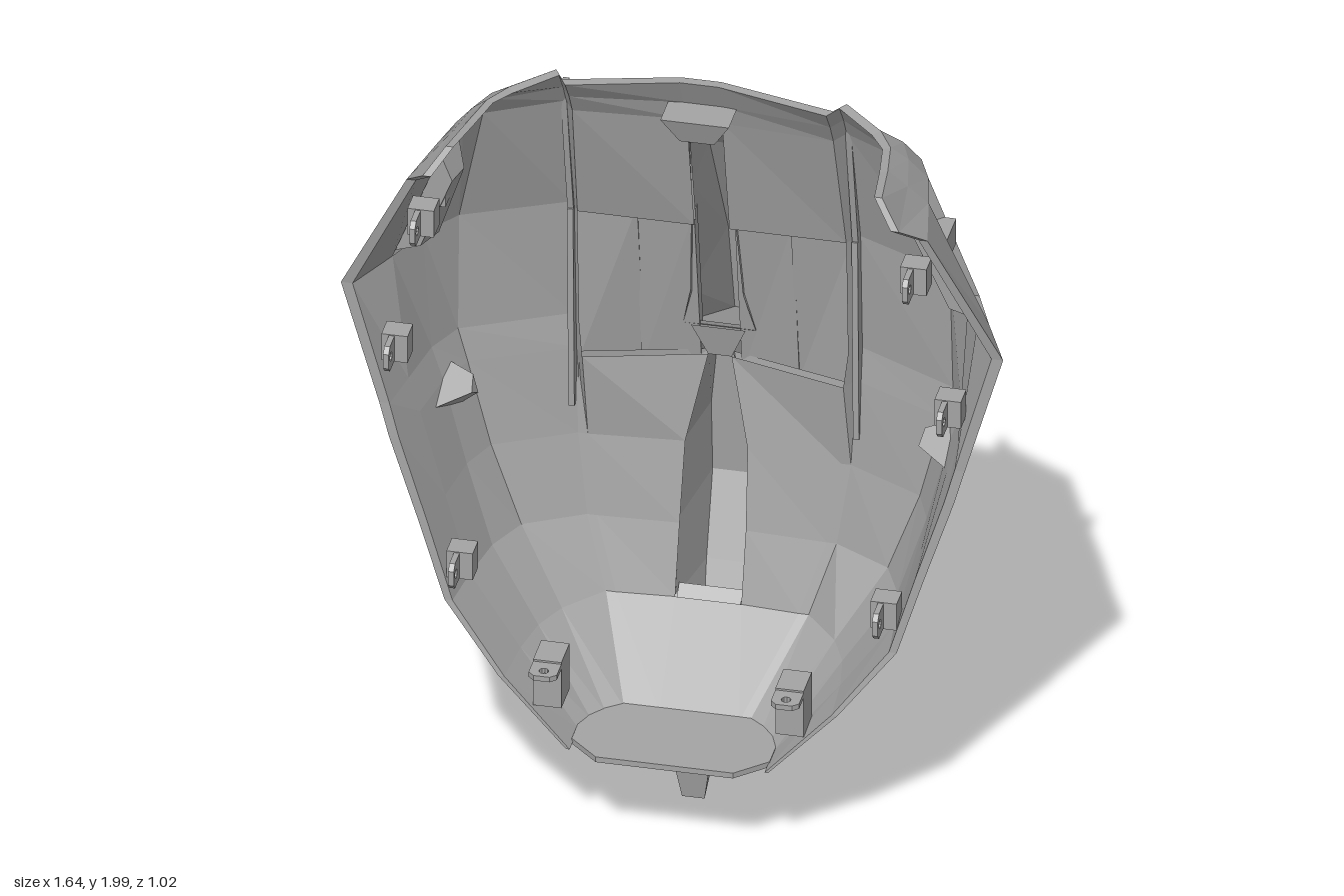
import * as THREE from 'three';

const grey = new THREE.MeshStandardMaterial({ color: 0xa4a4a4, flatShading: true, side: THREE.DoubleSide });
grey.name = 'plain grey';

// half cross-sections, top to bottom: y, slot half width, centre z, then x,z of
// panel edge, shoulder, upper side, lower side, rim
const rows = [
  [1.97, 0.05, 0.06, 0.36, 0.06, 0.46, 0.13, 0.50, 0.20, 0.52, 0.32, 0.54, 0.475],
  [1.91, 0.05, 0.02, 0.36, 0.015, 0.51, 0.105, 0.54, 0.18, 0.565, 0.30, 0.59, 0.51],
  [1.85, 0.045, 0.0, 0.36, -0.02, 0.55, 0.08, 0.585, 0.16, 0.61, 0.27, 0.645, 0.44],
  [1.5, 0.045, -0.08, 0.37, -0.12, 0.63, 0.0, 0.70, 0.11, 0.75, 0.23, 0.82, 0.385],
  [1.17, 0.07, -0.15, 0.37, -0.14, 0.635, -0.01, 0.68, 0.10, 0.705, 0.25, 0.725, 0.385],
  [1.08, 0.03, -0.17, 0.36, -0.13, 0.61, -0.01, 0.65, 0.10, 0.675, 0.25, 0.70, 0.39],
  [0.85, 0.08, -0.13, 0.35, -0.11, 0.55, -0.01, 0.59, 0.10, 0.61, 0.25, 0.625, 0.395],
  [0.64, 0.085, -0.09, 0.32, -0.08, 0.47, 0.0, 0.52, 0.12, 0.545, 0.26, 0.56, 0.40],
  [0.46, 0.085, -0.04, 0.26, -0.03, 0.35, 0.07, 0.39, 0.17, 0.41, 0.28, 0.42, 0.43],
  [0.28, 0.07, 0.2, 0.16, 0.2, 0.2, 0.23, 0.23, 0.28, 0.25, 0.33, 0.25, 0.44],
];

// flat-faced geometry from a list of quads (four Vector3 each)
function quadMesh(name, quads) {
  const pos = [];
  for (const [a, b, c, d] of quads) for (const p of [a, b, c, a, c, d]) pos.push(p.x, p.y, p.z);
  const geo = new THREE.BufferGeometry();
  geo.setAttribute('position', new THREE.Float32BufferAttribute(pos, 3));
  geo.computeVertexNormals();
  const mesh = new THREE.Mesh(geo, grey);
  mesh.name = name;
  return mesh;
}
const V = (x, y, z) => new THREE.Vector3(x, y, z);

// eight points across one half section; the panel edge is a small step
function section(r, side) {
  const [y, w, z0, x3, z3] = r;
  const step = y > 1 ? 0.04 : 0;
  const pts = [[0, z0], [w, z0], [x3 - 0.025, z3 + step], [x3, z3]];
  for (let i = 5; i < r.length; i += 2) pts.push([r[i], r[i + 1]]);
  const drop = [0.02, 0.02, 0, 0, -0.02, -0.02, -0.01, 0.01];
  return pts.map(([x, z], i) => V(side * x, y + (y > 1.95 ? drop[i] : 0), z));
}
const inward = (p, i) => V(p.x * 0.965, p.y, p.z + (i < 5 ? 0.025 : i < 7 ? 0.012 : 0));

// curved shell, open at the fin slots, the back panels and the side windows
function halfShell(side) {
  const outer = rows.map((r) => section(r, side));
  const inner = outer.map((r) => r.map(inward));
  const quads = [];
  for (let j = 0; j < rows.length - 1; j++) {
    for (let i = 0; i < 7; i++) {
      const slot = i === 0 && j >= 2 && j <= 7 && j !== 4;
      const panelGap = i === 1 && (j === 3 || j === 4);
      const windowGap = i === 5 && j === 2;
      if (slot || panelGap || windowGap) continue;
      for (const s of [outer, inner]) {
        const q = [s[j][i], s[j + 1][i], s[j + 1][i + 1], s[j][i + 1]];
        quads.push((s === outer) === (side < 0) ? q : q.reverse());
      }
    }
    quads.push([outer[j][7], inner[j][7], inner[j + 1][7], outer[j + 1][7]]);
  }
  for (let i = 0; i < 7; i++) quads.push([outer[0][i], inner[0][i], inner[0][i + 1], outer[0][i + 1]]);
  return quadMesh('shellHalf', quads);
}

// sloped pocket behind the side window
function windowPocket(side) {
  const a = section(rows[2], side), b = section(rows[3], side);
  const rim = [a[5], a[6], b[6], b[5]];
  const mid = rim.reduce((s, p) => s.add(p), V(0, 0, 0)).multiplyScalar(0.25);
  const floor = rim.map((p) => p.clone().lerp(mid, 0.4).add(V(-side * 0.06, -0.03, 0.03)));
  const quads = rim.map((p, i) => [p, rim[(i + 1) % 4], floor[(i + 1) % 4], floor[i]]);
  quads.push(floor);
  return quadMesh('windowPocket', quads);
}

// fin from stations: base z, base y, base half width, outer z, outer y, outer half width
function fin(name, stations, solid = false) {
  const rings = stations.map(([bz, by, bw, oz, oy, ow]) =>
    [V(-bw, by, bz), V(-ow, oy, oz), V(ow, oy, oz), V(bw, by, bz)]);
  const quads = [rings[0], rings[rings.length - 1]];
  for (let j = 0; j < rings.length - 1; j++) {
    for (let i = 0; i < (solid ? 4 : 3); i++) {
      const k = (i + 1) % 4;
      quads.push([rings[j][i], rings[j][k], rings[j + 1][k], rings[j + 1][i]]);
    }
  }
  return quadMesh(name, quads);
}

// slab lying on the back: x range, y range, z at top and bottom, thickness, sideways slope
function slab(name, side, x0, x1, y0, y1, zTop, zBottom, t, slope = 0) {
  const geo = new THREE.BoxGeometry(x1 - x0, y1 - y0, t);
  const p = geo.attributes.position;
  for (let i = 0; i < p.count; i++) {
    p.setZ(i, p.getZ(i) + (p.getY(i) > 0 ? zTop : zBottom + slope * side * p.getX(i)));
  }
  geo.translate(side * (x0 + x1) / 2, (y0 + y1) / 2, 0);
  geo.computeVertexNormals();
  const mesh = new THREE.Mesh(geo, grey);
  mesh.name = name;
  return mesh;
}

// clip with a holed ear pointing forward
function clip(x, y, z, flat) {
  const g = new THREE.Group();
  g.name = 'mountingClip';
  const ear = new THREE.Shape([[-0.032, -0.035], [0.02, -0.035], [0.034, -0.02], [0.034, 0.02], [0.02, 0.035], [-0.032, 0.035]]
    .map(([a, b]) => new THREE.Vector2(a, b)));
  ear.holes.push(new THREE.Path().absarc(0.008, 0, 0.012, 0, Math.PI * 2, true));
  const tab = new THREE.Mesh(new THREE.ExtrudeGeometry(ear, { depth: 0.014, bevelEnabled: false, curveSegments: 5 }), grey);
  tab.name = 'clipEar';
  tab.rotation.y = -Math.PI / 2;
  const base = new THREE.Mesh(flat ? new THREE.BoxGeometry(0.13, 0.07, 0.09) : new THREE.BoxGeometry(0.065, 0.075, 0.06), grey);
  base.name = 'clipBase';
  base.position.set(flat ? -0.06 : 0, 0, flat ? -0.075 : -0.06);
  g.add(tab, base);
  if (flat) g.rotation.z = Math.PI / 2;
  g.position.set(x, y, z);
  return g;
}

export function createModel() {
  const model = new THREE.Group();
  model.name = 'shellPanel';

  for (const s of [-1, 1]) {
    model.add(halfShell(s), windowPocket(s));
    // raised back panels that close the openings beside the fin
    model.add(slab('outerBackPanel', s, 0.19, 0.35, 1.02, 1.52, -0.095, -0.155, 0.035, 0.3));
    model.add(slab('innerBackPanel', s, 0.05, 0.195, 1.02, 1.52, -0.1, -0.18, 0.035, 0.1));
    model.add(slab('finCheek', s, 0.06, 0.12, 1.17, 1.43, -0.14, -0.175, 0.05));
    // thin ribs along the panel edges
    model.add(slab('panelRib', s, 0.345, 0.36, 1.5, 1.9, 0.0, -0.085, 0.04));
    model.add(slab('panelRib', s, 0.345, 0.36, 0.93, 1.5, -0.085, -0.1, 0.05));
    // window divider
    const divider = new THREE.Mesh(new THREE.BoxGeometry(0.06, 0.07, 0.11), grey);
    divider.name = 'windowDivider';
    divider.position.set(s * 0.62, 1.7, 0.2);
    model.add(divider);
    // three-sided sockets low on the sides
    const socket = new THREE.Mesh(new THREE.CylinderGeometry(0.03, 0.085, 0.08, 3), grey);
    socket.name = 'sideSocket';
    socket.rotation.z = s * (Math.PI / 2 - 0.25);
    socket.position.set(s * 0.592, 1.055, 0.1);
    model.add(socket);
    model.add(clip(s * 0.61, 1.73, 0.47), clip(s * 0.685, 1.335, 0.425), clip(s * 0.525, 0.735, 0.42));
    model.add(clip(s * 0.3, 0.51, 0.455, true));
  }

  // hollow upper and lower fins, solid chin tooth
  model.add(fin('upperFin', [
    [0.01, 1.86, 0.045, -0.03, 1.87, 0.045], [-0.05, 1.62, 0.05, -0.25, 1.62, 0.05],
    [-0.11, 1.28, 0.065, -0.46, 1.25, 0.05], [-0.14, 1.165, 0.09, -0.51, 0.99, 0.045]]));
  model.add(fin('lowerFin', [
    [-0.16, 1.08, 0.03, -0.275, 1.09, 0.03], [-0.12, 0.85, 0.08, -0.295, 0.85, 0.055],
    [-0.08, 0.65, 0.085, -0.31, 0.65, 0.055], [-0.03, 0.45, 0.085, -0.22, 0.45, 0.05],
    [-0.095, 0.26, 0.05, -0.13, 0.26, 0.04]]));
  model.add(fin('chinTooth', [
    [0.2, 0.27, 0.07, -0.05, 0.48, 0.08], [0.15, 0, 0.028, 0.0, 0.12, 0.035]], true));

  // inner bracket at the top of the slot
  const bracket = new THREE.Mesh(new THREE.CylinderGeometry(0.12, 0.06, 0.07, 4, 1).rotateY(Math.PI / 4), grey);
  bracket.name = 'slotBracket';
  bracket.scale.z = 0.6;
  bracket.position.set(0, 1.875, 0.085);
  model.add(bracket);

  // floor plate at the lower end
  const floorShape = new THREE.Shape([[-0.18, 0.2], [0.18, 0.2], [0.245, 0.28], [0.245, 0.4], [0.17, 0.47], [-0.17, 0.47], [-0.245, 0.4], [-0.245, 0.28]]
    .map(([x, z]) => new THREE.Vector2(x, z)));
  const floor = new THREE.Mesh(new THREE.ExtrudeGeometry(floorShape, { depth: 0.015, bevelEnabled: false }), grey);
  floor.name = 'floorPlate';
  floor.rotation.x = Math.PI / 2;
  floor.position.y = 0.287;
  model.add(floor);
  return model;
}
